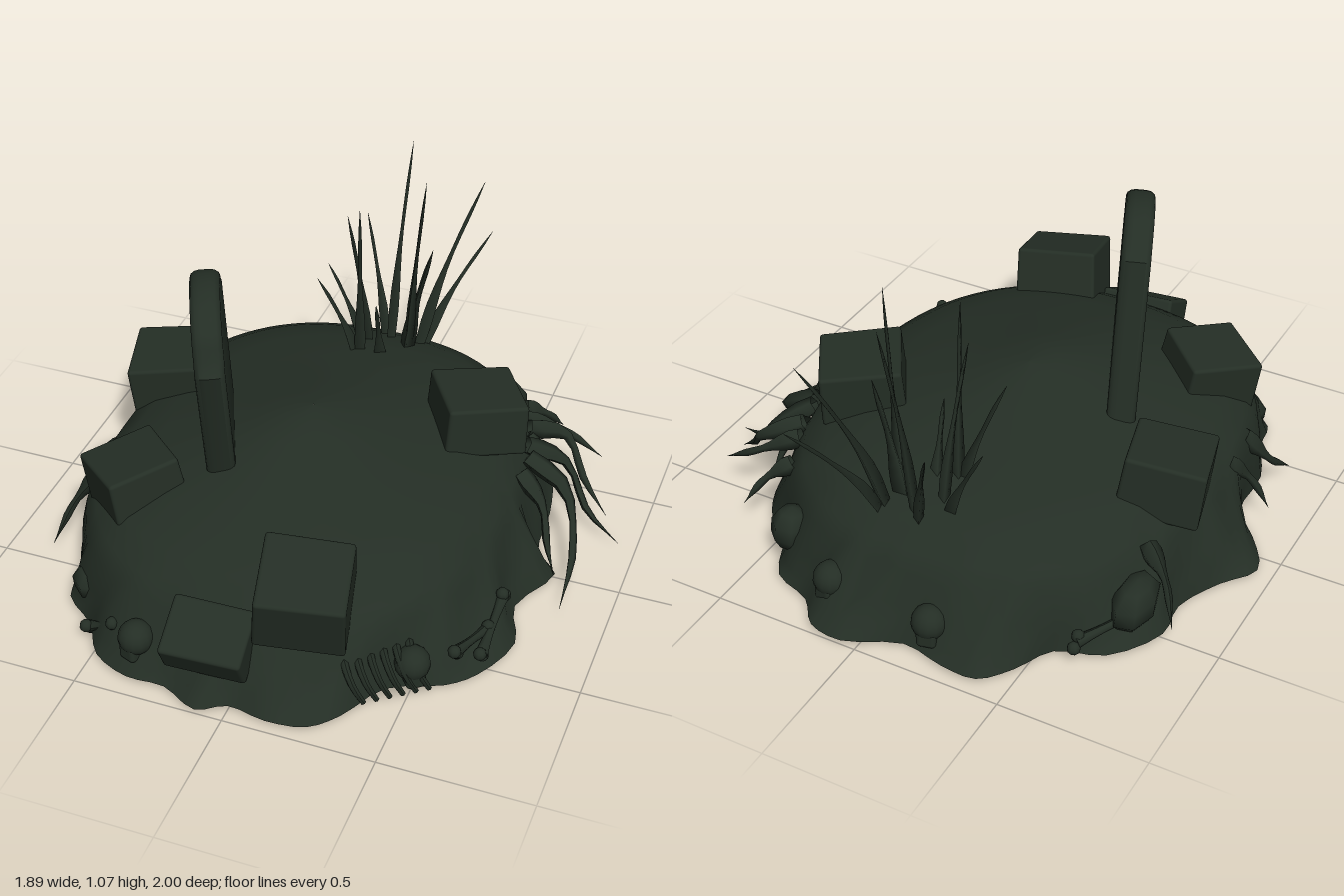
import * as THREE from 'three';
import { toCreasedNormals } from 'three/addons/utils/BufferGeometryUtils.js';
import { RoundedBoxGeometry } from 'three/addons/geometries/RoundedBoxGeometry.js';

const V = (a) => new THREE.Vector3(...a);

export function createModel() {
  const model = new THREE.Group();
  const moss = new THREE.MeshStandardMaterial({ color: 0x242e25, side: THREE.DoubleSide });
  moss.name = 'dark moss green';

  const add = (name, geometry, pos = [0, 0, 0], rot = [0, 0, 0], parent = model) => {
    const mesh = new THREE.Mesh(geometry, moss);
    mesh.name = name;
    mesh.position.set(...pos);
    mesh.rotation.set(rot[0], rot[1], rot[2], 'YXZ');
    parent.add(mesh);
    return mesh;
  };

  // Tube along a curve whose radius follows a profile
  const taper = (points, radius, profile, sides = 5, segs = 9) => {
    const curve = new THREE.CatmullRomCurve3(points.map(V));
    const geo = new THREE.TubeGeometry(curve, segs, radius, sides);
    const p = geo.attributes.position, v = new THREE.Vector3();
    for (let i = 0; i <= segs; i++) {
      const c = curve.getPointAt(i / segs);
      for (let j = 0; j <= sides; j++) {
        const k = i * (sides + 1) + j;
        v.fromBufferAttribute(p, k).sub(c).multiplyScalar(profile(i / segs)).add(c);
        p.setXYZ(k, v.x, Math.max(v.y, 0.003), v.z);
      }
    }
    geo.computeVertexNormals();
    return geo;
  };

  // Mound: ragged skirt lofted up to a low dome with a central hump, open underneath
  const outline = [
    [0.05, -1], [0.17, -0.98], [0.25, -0.89], [0.39, -0.83], [0.48, -0.67], [0.57, -0.6], [0.64, -0.48],
    [0.68, -0.3], [0.7, -0.08], [0.78, 0], [0.7, 0.2], [0.75, 0.37], [0.68, 0.55], [0.6, 0.63], [0.43, 0.71],
    [0.34, 0.87], [0.26, 0.95], [0.13, 0.97], [0, 0.95], [-0.09, 1], [-0.22, 0.94], [-0.35, 0.94],
    [-0.48, 0.88], [-0.56, 0.76], [-0.68, 0.66], [-0.7, 0.55], [-0.77, 0.38], [-0.78, 0.17], [-0.87, 0.07],
    [-0.95, -0.08], [-0.87, -0.2], [-0.8, -0.36], [-0.81, -0.5], [-0.7, -0.67], [-0.55, -0.73],
    [-0.48, -0.86], [-0.4, -0.95], [-0.28, -0.95], [-0.13, -0.92],
  ];
  const edge = new THREE.CatmullRomCurve3(outline.map(([x, z]) => new THREE.Vector3(x, 0.02, z)), true);
  const N = 117, CX = -0.075, RX = 0.715, RZ = 0.85;
  // [blend from outline to dome edge, dome scale, height]
  const rings = [[0, 1, 0.02], [0.3, 1, 0.065], [0.65, 1, 0.135], [1, 0.985, 0.225], [1, 0.94, 0.285], [1, 0.84, 0.335],
    [1, 0.68, 0.375], [1, 0.48, 0.4], [1, 0.25, 0.418], [1, 0.12, 0.427], [1, 0.001, 0.43]];
  const pos = [], idx = [];
  rings.forEach(([blend, scale, h], r) => {
    for (let i = 0; i < N; i++) {
      const o = edge.getPoint(i / N);
      const a = Math.atan2(o.z / RZ, (o.x - CX) / RX);
      const k = scale / Math.pow(Math.abs(Math.cos(a)) ** 2.4 + Math.abs(Math.sin(a)) ** 2.4, 1 / 2.4);
      const ex = CX + RX * k * Math.cos(a), ez = RZ * k * Math.sin(a);
      const x = o.x + (ex - o.x) * blend, z = o.z + (ez - o.z) * blend;
      const rough = r === 0 || r > 3 ? 0 : 0.012 * Math.sin(i * 1.1 + r * 2) + 0.01 * Math.sin(i * 0.5);
      const hump = 0.075 * Math.exp(-((x + 0.1) ** 2) / 0.08 - ((z - 0.08) ** 2) / 0.12);
      pos.push(x, h + rough + hump, z);
      if (r < rings.length - 1) {
        const p = r * N + i, q = r * N + (i + 1) % N;
        idx.push(p, p + N, q, q, p + N, q + N);
      }
    }
  });
  const mound = new THREE.BufferGeometry();
  mound.setAttribute('position', new THREE.Float32BufferAttribute(pos, 3));
  mound.setIndex(idx);
  mound.computeVertexNormals();
  add('mound', mound);

  // Headstone: shouldered slab with an arched top and worn edges, leaning
  const s = new THREE.Shape();
  s.moveTo(-0.19, 0);
  s.lineTo(0.19, 0);
  s.lineTo(0.21, 0.58);
  s.lineTo(0.175, 0.61);
  s.bezierCurveTo(0.15, 0.75, -0.15, 0.75, -0.175, 0.61);
  s.lineTo(-0.21, 0.58);
  const slab = new THREE.ExtrudeGeometry(s, { depth: 0.035, bevelThickness: 0.03, bevelSize: 0.022, bevelSegments: 3, curveSegments: 10 });
  slab.translate(0, 0, -0.0175);
  add('headstone', toCreasedNormals(slab, 0.8), [-0.35, 0.335, 0.133], [0.05, -1.16, -0.2]);

  // Tumbled stone blocks: [position, size, rotation]
  [
    [[-0.66, 0.375, -0.18], [0.27, 0.2, 0.27], [0.06, 0.26, 0.12]],
    [[-0.53, 0.34, 0.42], [0.26, 0.25, 0.26], [0.13, -0.72, 0.1]],
    [[0.18, 0.365, 0.745], [0.29, 0.22, 0.28], [0.27, 0.22, -0.07]],
    [[0.42, 0.43, -0.245], [0.28, 0.18, 0.28], [-0.04, 0.55, -0.08]],
    [[-0.085, 0.205, 0.87], [0.27, 0.13, 0.2], [0.5, 0.05, -0.04]],
  ].forEach(([p, d, r]) => {
    const g = new RoundedBoxGeometry(...d, 2, 0.012);
    const a = g.attributes.position;
    for (let i = 0; i < a.count; i++) {
      const f = 1 - 0.25 * (a.getY(i) + d[1] / 2) * (a.getX(i) > 0 ? 1 : 0.3);
      a.setXYZ(i, a.getX(i) * f, a.getY(i), a.getZ(i) * f);
    }
    add('stoneBlock', g, p, r);
  });

  // Reeds: [base x, base z, tip x, y, z, thickness]
  const grass = new THREE.Group();
  grass.name = 'reeds';
  model.add(grass);
  [
    [-0.04, -0.68, -0.015, 1.075, -0.82, 0.018], [0.04, -0.63, 0.11, 1.06, -0.585, 0.018],
    [0.06, -0.68, 0.225, 0.92, -0.9, 0.022], [0.07, -0.7, 0.25, 0.7, -0.94, 0.02],
    [-0.1, -0.52, -0.08, 0.99, -0.455, 0.02], [-0.1, -0.62, -0.15, 0.91, -0.53, 0.02],
    [-0.1, -0.52, -0.22, 0.71, -0.42, 0.022], [-0.13, -0.64, -0.27, 0.62, -0.66, 0.02],
    [-0.06, -0.7, -0.2, 0.72, -0.88, 0.018], [0.03, -0.63, 0.12, 0.76, -0.65, 0.028],
    [-0.03, -0.54, -0.02, 0.62, -0.46, 0.024],
  ].forEach(([bx, bz, x, y, z, w]) => {
    const at = (t, up) => [bx + (x - bx) * t, 0.3 + (y - 0.3) * up, bz + (z - bz) * t];
    add('reed', taper([at(0, 0), at(0.25, 0.35), at(0.62, 0.7), at(1, 1)], w,
      (t) => Math.min(1, 2.2 * (1 - t)) * (0.75 + 0.35 * Math.sin(t * 8)) + 0.02, 3, 10), [0, 0, 0], [0, 0, 0], grass);
  });

  // Gnarled roots spilling over both sides
  [
    [[0.5, 0.25, -0.56], [0.57, 0.2, -0.62], [0.62, 0.12, -0.68]],
    [[0.53, 0.28, -0.46], [0.66, 0.22, -0.52], [0.8, 0.14, -0.52]],
    [[0.56, 0.29, -0.4], [0.68, 0.24, -0.47], [0.77, 0.13, -0.39], [0.87, 0.04, -0.33]],
    [[0.58, 0.29, -0.3], [0.71, 0.2, -0.37], [0.81, 0.08, -0.29], [0.94, 0.02, -0.225]],
    [[0.6, 0.28, -0.25], [0.74, 0.2, -0.23], [0.82, 0.09, -0.06], [0.84, 0.02, 0.17]],
    [[0.6, 0.28, -0.16], [0.69, 0.2, -0.12], [0.74, 0.1, -0.03], [0.78, 0.03, 0.02]],
    [[0.56, 0.27, -0.38], [0.66, 0.15, -0.36], [0.68, 0.04, -0.44]],
    [[-0.7, 0.26, -0.4], [-0.79, 0.2, -0.46], [-0.86, 0.1, -0.55]],
    [[-0.74, 0.25, 0.12], [-0.81, 0.16, 0.18], [-0.87, 0.05, 0.2]],
    [[-0.73, 0.25, 0.28], [-0.81, 0.14, 0.34], [-0.84, 0.04, 0.46]],
  ].forEach((pts) => add('root', taper(pts, 0.036, (t) => (1.02 - t) * (0.85 + 0.25 * Math.sin(t * 11)))));

  // Low rubble half sunk in the skirt: [x, y, z, sx, sy, sz]
  [
    [-0.72, 0.13, -0.52, 0.07, 0.09, 0.12], [-0.6, 0.09, 0.62, 0.08, 0.06, 0.09], [0.4, 0.14, -0.73, 0.07, 0.08, 0.07],
  ].forEach(([x, y, z, ...d], i) => {
    add('rubble', new THREE.SphereGeometry(1, 7, 5), [x, y, z], [0, i * 0.4, 0.1]).scale.set(...d);
  });

  // Half-buried skulls
  [[-0.34, 0.13, 0.87], [0.16, 0.13, -0.87], [0.5, 0.11, 0.66], [-0.2, 0.11, -0.88]].forEach(([x, y, z]) => {
    const skull = new THREE.Group();
    skull.name = 'skull';
    skull.position.set(x, y, z);
    skull.rotation.y = Math.atan2(x, z);
    model.add(skull);
    add('cranium', new THREE.SphereGeometry(0.058, 14, 10), [0, 0, 0], [0, 0, 0], skull);
    add('jaw', new RoundedBoxGeometry(0.065, 0.06, 0.06, 2, 0.015), [0, -0.04, 0.02], [0, 0, 0], skull);
  });

  // Long bones with knobbed ends
  [
    [[0.62, 0.14, 0.6], [0.67, 0.09, 0.4]], [[0.68, 0.08, 0.52], [0.68, 0.13, 0.28]],
    [[-0.55, 0.04, 0.79], [-0.44, 0.11, 0.82]], [[-0.62, 0.08, -0.72], [-0.75, 0.12, -0.53]],
  ].forEach(([a, b]) => {
    const bone = new THREE.Group();
    bone.name = 'bone';
    model.add(bone);
    const mid = a.map((n, i) => (n + b[i]) / 2);
    add('shaft', taper([a, mid, b], 0.022, (t) => 0.6 + 1.6 * (t - 0.5) ** 2, 8), [0, 0, 0], [0, 0, 0], bone);
    [a, b].forEach((e) => [-0.014, 0.014].forEach((o) =>
      add('knob', new THREE.SphereGeometry(0.022, 8, 6), [e[0], e[1] + o, e[2] + o], [0, 0, 0], bone)));
  });

  // Rib cage fragment: row of curved ribs
  for (let i = 0; i < 6; i++) {
    const x = 0.34 + i * 0.034, z = 0.78 - i * 0.026;
    add('rib', taper([[x - 0.06, 0.17, z - 0.08], [x - 0.02, 0.15, z], [x + 0.02, 0.1, z + 0.035], [x + 0.05, 0.03, z + 0.02]],
      0.016, (t) => 1 - 0.4 * t, 6));
  }
  return model;
}
